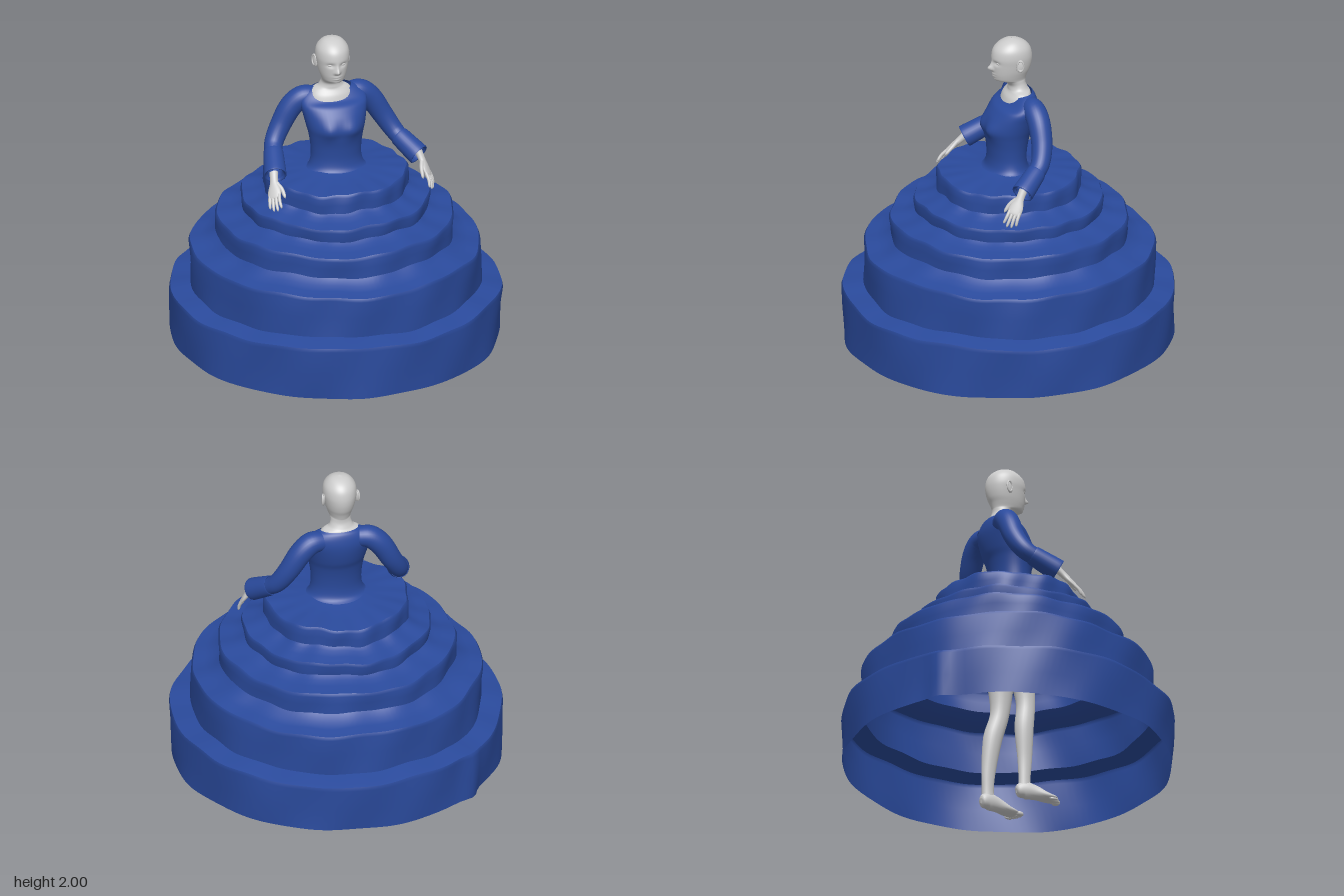
import * as THREE from 'three';

const skin = new THREE.MeshStandardMaterial({ color: 0xcccccc, side: THREE.DoubleSide });
const cloth = new THREE.MeshStandardMaterial({ color: 0x2a4a9c, side: THREE.DoubleSide });
const X = new THREE.Vector3(1, 0, 0), Y = new THREE.Vector3(0, 1, 0), Z = new THREE.Vector3(0, 0, 1);

// Smooth loft through elliptical sections [x, y, z, radiusU, radiusV].
function loft(name, material, rows, { steps = 6, seg = 24, ref = X, axis = null, warp = null } = {}) {
  const path = new THREE.CatmullRomCurve3(rows.map(r => new THREE.Vector3(r[0], r[1], r[2])), false, 'catmullrom');
  const size = new THREE.CatmullRomCurve3(rows.map(r => new THREE.Vector3(r[3], r[4], 0)), false, 'catmullrom');
  const n = (rows.length - 1) * steps, pos = [], idx = [];
  for (let i = 0; i <= n; i++) {
    const c = path.getPoint(i / n), s = size.getPoint(i / n), t = axis || path.getTangent(i / n);
    const u = ref.clone().addScaledVector(t, -ref.dot(t)).normalize();
    const v = new THREE.Vector3().crossVectors(t, u);
    for (let j = 0; j < seg; j++) {
      const a = j / seg * Math.PI * 2;
      const p = c.clone().addScaledVector(u, Math.cos(a) * Math.max(s.x, 0.001))
        .addScaledVector(v, Math.sin(a) * Math.max(s.y, 0.001));
      if (warp) warp(p);
      pos.push(p.x, p.y, p.z);
      if (i < n) {
        const k = i * seg, q = (j + 1) % seg;
        idx.push(k + j, k + q, k + seg + q, k + j, k + seg + q, k + seg + j);
      }
    }
  }
  const g = new THREE.BufferGeometry();
  g.setAttribute('position', new THREE.Float32BufferAttribute(pos, 3));
  g.setIndex(idx);
  g.computeVertexNormals();
  const mesh = new THREE.Mesh(g, material);
  mesh.name = name;
  return mesh;
}

// Upright body sections given as [y, halfWidth, zFront, zBack].
const upright = (rows, x = 0) => rows.map(([y, w, f, b]) => [x, y, (f + b) / 2, w, (f - b) / 2]);
const bump = (dx, dy, sx, sy) => Math.exp(-((dx / sx) ** 2) - (dy / sy) ** 2);

function ball(name, x, y, z, sx, sy, sz) {
  const m = new THREE.Mesh(new THREE.SphereGeometry(1, 20, 14), skin);
  m.position.set(x, y, z);
  m.scale.set(sx, sy, sz);
  m.name = name;
  return m;
}

// Tiered skirt: the repeated rows give sharp seams
function skirt() {
  const profile = [[0.26, 0.89], [0.4, 0.893], [0.535, 0.9], [0.555, 0.895], [0.555, 0.895], [0.563, 0.86], [0.575, 0.785], [0.575, 0.785],
    [0.69, 0.785], [0.79, 0.788], [0.808, 0.78], [0.808, 0.78], [0.82, 0.72], [0.835, 0.675], [0.865, 0.64], [0.865, 0.64],
    [0.92, 0.64], [0.965, 0.644], [0.982, 0.635], [0.982, 0.635], [0.992, 0.57], [1.003, 0.53], [1.02, 0.503], [1.02, 0.503],
    [1.075, 0.512], [1.092, 0.505], [1.092, 0.505], [1.105, 0.45], [1.12, 0.41], [1.135, 0.39], [1.135, 0.39],
    [1.18, 0.39], [1.22, 0.39], [1.235, 0.38], [1.235, 0.38], [1.243, 0.29], [1.247, 0.21], [1.26, 0.15]];
  const rows = profile.map(([y, r]) => [0, y, 0, r, r]);
  return loft('tieredSkirt', cloth, rows, {
    steps: 1, seg: 144, axis: Y, warp: p => {
      const a = Math.atan2(p.x, p.z), r = Math.hypot(p.x, p.z);
      const loose = THREE.MathUtils.smoothstep(r, 0.2, 0.4);
      const low = 1 - THREE.MathUtils.smoothstep(p.y, 0.5, 0.6);
      const fold = low * 0.03 * bump(a + 2.43, 0, 0.07, 1);
      const k = 1 + (loose * (0.005 * Math.sin(7 * a + p.y * 9) + 0.004 * Math.sin(13 * a - p.y * 14)) + fold) / r;
      p.y += loose * (0.006 * Math.sin(5 * a + p.y * 6) + 0.003 * Math.sin(17 * a)) * (p.y > 0.3 ? 1 : 0.2);
      if (p.y < 0.3) p.y += 0.012 * (1 - Math.cos(a));
      p.x *= k;
      p.z *= k;
    }
  });
}

function bodice() {
  return loft('bodice', cloth, upright([[1.235, 0.21, 0.18, -0.13], [1.26, 0.16, 0.135, -0.1], [1.31, 0.14, 0.12, -0.09],
    [1.38, 0.14, 0.122, -0.095], [1.45, 0.15, 0.132, -0.11], [1.5, 0.162, 0.138, -0.13], [1.56, 0.175, 0.118, -0.145],
    [1.61, 0.185, 0.083, -0.15], [1.65, 0.175, 0.048, -0.145], [1.68, 0.14, 0.02, -0.135], [1.695, 0.105, 0, -0.122]]), {
    seg: 48, axis: Y, warp: p => {
      const front = THREE.MathUtils.smoothstep(p.z, -0.07, 0.04);
      if (p.z > 0) p.z += 0.018 * bump(Math.abs(p.x) - 0.07, p.y - 1.5, 0.045, 0.05);
      p.y -= 0.04 * front * THREE.MathUtils.smoothstep(p.y, 1.6, 1.695);
    }
  });
}

// Head, face and neck in one surface, with the features pushed out of the front
function head() {
  const g = new THREE.Group();
  g.name = 'head';
  g.add(loft('headAndNeck', skin, upright([[1.63, 0.13, 0.035, -0.12], [1.665, 0.118, 0.022, -0.12], [1.69, 0.1, 0.004, -0.116],
    [1.705, 0.07, 0, -0.107], [1.73, 0.057, 0.002, -0.096], [1.752, 0.056, 0.03, -0.094], [1.765, 0.06, 0.073, -0.097],
    [1.79, 0.069, 0.085, -0.106], [1.82, 0.078, 0.09, -0.12], [1.86, 0.086, 0.093, -0.13], [1.9, 0.091, 0.094, -0.131],
    [1.94, 0.086, 0.084, -0.121], [1.97, 0.068, 0.058, -0.097], [1.99, 0.042, 0.022, -0.062], [2.0, 0.001, -0.019, -0.021]], -0.012), {
    seg: 80, axis: Y, warp: p => {
      if (p.z < 0.02) return;
      const x = p.x + 0.012, ax = Math.abs(x);
      p.z += 0.026 * bump(x, p.y - 1.836, 0.012, 0.013) + 0.01 * bump(x, p.y - 1.856, 0.009, 0.018)
        + 0.006 * bump(ax - 0.012, p.y - 1.83, 0.008, 0.008) - 0.011 * bump(ax - 0.034, p.y - 1.872, 0.02, 0.011)
        + 0.006 * bump(x, p.y - 1.803, 0.021, 0.005) + 0.007 * bump(x, p.y - 1.79, 0.018, 0.006)
        - 0.003 * bump(x, p.y - 1.797, 0.024, 0.003) + 0.005 * bump(x, p.y - 1.768, 0.02, 0.01);
    }
  }));
  for (const s of [-1, 1]) {
    g.add(ball('eye', -0.012 + s * 0.034, 1.872, 0.067, 0.015, 0.009, 0.012));
    const ear = ball('ear', -0.012 + s * 0.09, 1.862, -0.035, 0.008, 0.035, 0.02);
    ear.rotation.set(-0.15, -s * 0.35, 0);
    const rim = new THREE.Mesh(new THREE.TorusGeometry(0.022, 0.005, 8, 24), skin);
    rim.name = 'earRim';
    rim.position.set(-0.012 + s * 0.096, 1.866, -0.037);
    rim.rotation.y = Math.PI / 2 - s * 0.35;
    rim.scale.set(0.8, 1.35, 1);
    g.add(ear, rim);
  }
  return g;
}

// Hand along local z, thumb on the inner side
function hand(name, s, wrist, tip) {
  const g = new THREE.Group();
  g.name = name;
  g.add(loft('palm', skin, [[0, 0, -0.06, 0.024, 0.022], [0, 0, 0, 0.023, 0.018], [0, 0, 0.05, 0.037, 0.015],
    [0, 0, 0.09, 0.036, 0.011], [0, 0, 0.1, 0.022, 0.004]]));
  [0.067, 0.08, 0.076, 0.058].forEach((len, i) => {
    const x = s * (-0.027 + i * 0.018), k = 1 + 0.3 * len / 0.08;
    g.add(loft('finger', skin, [[x, 0, 0.075, 0.01, 0.01], [x * 1.1, 0, 0.09 + len * 0.4, 0.009, 0.009],
      [x * k, -0.008, 0.09 + len * 0.85, 0.007, 0.007], [x * k, -0.012, 0.09 + len, 0.001, 0.001]], { seg: 12 }));
  });
  g.add(loft('thumb', skin, [[-s * 0.015, 0, 0.01, 0.014, 0.012], [-s * 0.04, -0.008, 0.045, 0.012, 0.011],
    [-s * 0.052, -0.015, 0.085, 0.009, 0.008], [-s * 0.054, -0.018, 0.1, 0.001, 0.001]], { seg: 12 }));
  g.position.set(...wrist);
  g.lookAt(...tip);
  g.rotateZ(-s * 0.5);
  return g;
}

// Sleeve with a flared, turned-back cuff
function arm(side, s, joints, cuffA, cuffB, wrist, tip) {
  const g = new THREE.Group();
  g.name = side + 'Arm';
  const radii = [0.055, 0.062, 0.062, 0.057, 0.052, 0.048, 0.04];
  g.add(loft(side + 'Sleeve', cloth, [...joints, cuffA, cuffB].map((p, i) => [...p, radii[i], radii[i]]), { ref: Z, seg: 28 }));
  const at = t => cuffA.map((v, i) => v + (cuffB[i] - v) * t);
  const cuff = [[0.05, 0.04], [-0.04, 0.05], [0.0, 0.054], [0.5, 0.058], [0.97, 0.061], [1.02, 0.057], [0.97, 0.05], [0.7, 0.036]];
  // Fixed axis keeps the rings parallel where the cuff folds back inside
  const dir = new THREE.Vector3(...cuffB).sub(new THREE.Vector3(...cuffA)).normalize();
  g.add(loft(side + 'Cuff', cloth, cuff.map(([t, r]) => [...at(t), r, r]), { axis: dir, steps: 3, seg: 28 }));
  g.add(hand(side + 'Hand', s, wrist, tip));
  return g;
}

function leg(side, s, rows, yaw) {
  const g = new THREE.Group();
  g.name = side + 'Leg';
  g.add(loft(side + 'Shin', skin, rows));
  const ankle = rows[rows.length - 1], foot = new THREE.Group();
  foot.name = side + 'Foot';
  foot.add(loft('sole', skin, [[0, 0.035, -0.047, 0.004, 0.006], [0, 0.038, -0.038, 0.026, 0.032], [0, 0.052, 0, 0.033, 0.05],
    [0, 0.045, 0.06, 0.036, 0.041], [0, 0.027, 0.12, 0.046, 0.024], [0, 0.018, 0.165, 0.045, 0.014], [0, 0.014, 0.18, 0.03, 0.006]]));
  for (let i = 0; i < 5; i++) {
    const r = i ? 0.01 - i * 0.0006 : 0.014;
    foot.add(ball('toe', s * (-0.033 + i * 0.0175), r, 0.182 - i * i * 0.0018, r, r, 0.024));
  }
  foot.position.set(ankle[0], 0, ankle[2]);
  foot.rotation.y = yaw;
  g.add(foot);
  return g;
}

export function createModel() {
  const model = new THREE.Group();
  model.name = 'womanInTieredDress';
  model.add(skirt(), bodice(), head());
  model.add(loft('hips', skin, upright([[1.24, 0.13, 0.09, -0.09], [1.15, 0.155, 0.09, -0.12], [1.05, 0.165, 0.085, -0.125],
    [0.97, 0.13, 0.06, -0.1], [0.94, 0.02, 0, -0.03]].reverse()), { axis: Y }));
  model.add(arm('left', 1, [[0.1, 1.635, -0.08], [0.165, 1.628, -0.088], [0.225, 1.575, -0.095], [0.285, 1.48, -0.09],
    [0.335, 1.4, -0.065]], [0.37, 1.355, -0.025], [0.445, 1.285, 0.075], [0.46, 1.262, 0.095], [0.515, 1.1, 0.19]));
  model.add(arm('right', -1, [[-0.1, 1.635, -0.08], [-0.165, 1.628, -0.088], [-0.225, 1.575, -0.095], [-0.28, 1.48, -0.09],
    [-0.325, 1.4, -0.06]], [-0.345, 1.355, -0.005], [-0.37, 1.285, 0.125], [-0.385, 1.255, 0.155], [-0.415, 1.13, 0.29]));
  model.add(leg('left', 1, [[0.085, 1.08, -0.02, 0.08, 0.095], [0.085, 0.85, -0.005, 0.077, 0.083], [0.075, 0.6, -0.01, 0.048, 0.054],
    [0.072, 0.43, -0.055, 0.047, 0.053], [0.07, 0.24, -0.08, 0.031, 0.041], [0.07, 0.12, -0.085, 0.026, 0.034], [0.07, 0.05, -0.082, 0.028, 0.038]], 0.15));
  model.add(leg('right', -1, [[-0.085, 1.08, -0.015, 0.08, 0.095], [-0.09, 0.85, 0.025, 0.077, 0.083], [-0.11, 0.6, 0.055, 0.048, 0.054],
    [-0.125, 0.43, 0.04, 0.047, 0.053], [-0.133, 0.24, 0.04, 0.031, 0.041], [-0.14, 0.12, 0.035, 0.026, 0.034], [-0.142, 0.05, 0.035, 0.028, 0.038]], -0.15));
  return model;
}
